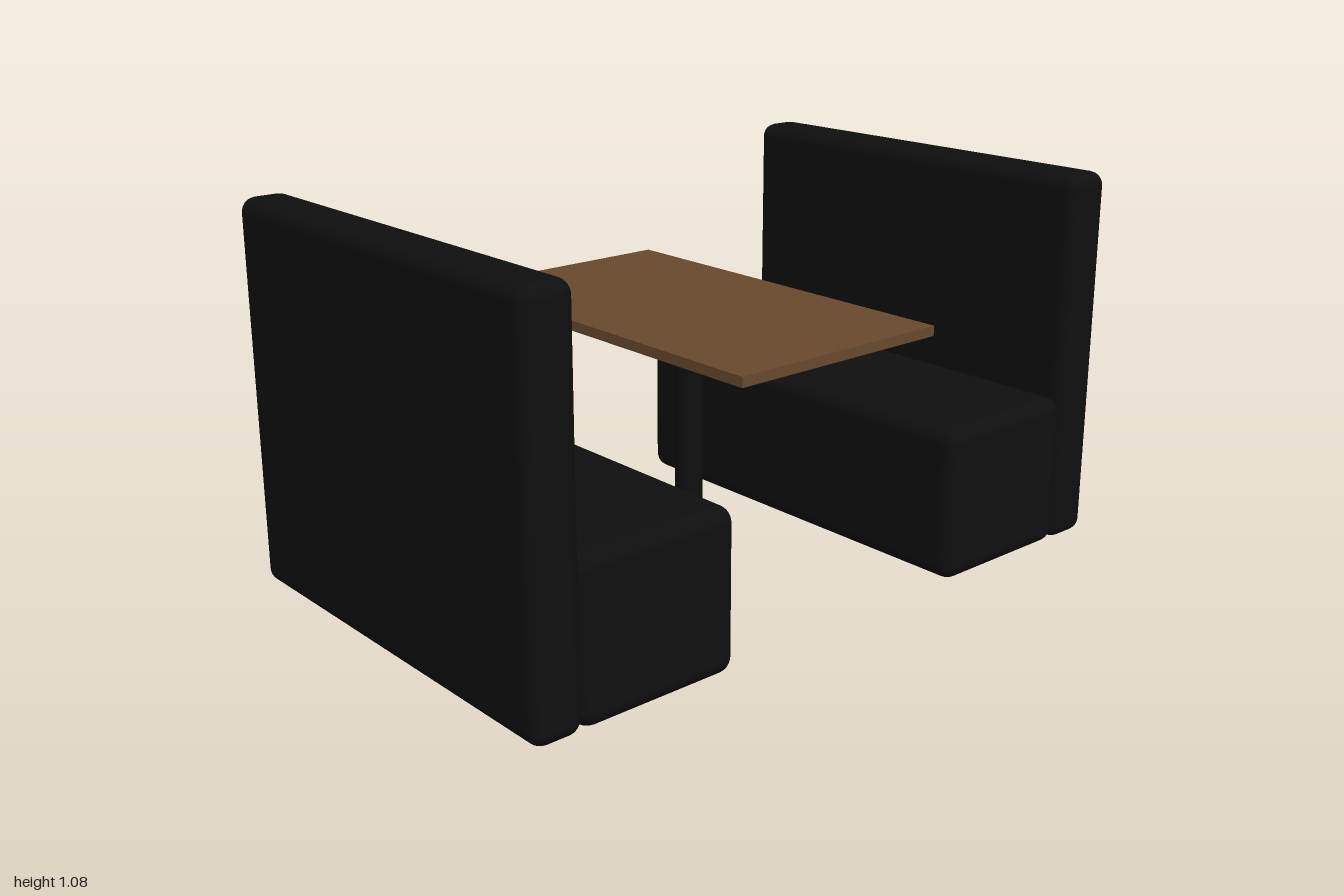
import * as THREE from 'three';
import { RoundedBoxGeometry } from 'three/addons/geometries/RoundedBoxGeometry.js';

export function createModel() {
  const model = new THREE.Group();
  model.name = 'diningBooth';
  const upholstery = new THREE.MeshStandardMaterial({ color: 0x0f0f0f });
  upholstery.name = 'black upholstery';
  const wood = new THREE.MeshStandardMaterial({ color: 0x68482e });
  wood.name = 'brown wood';

  const add = (parent, name, geometry, material, y, z = 0) => {
    const mesh = new THREE.Mesh(geometry, material);
    mesh.name = name;
    mesh.position.set(0, y, z);
    parent.add(mesh);
  };

  // Two padded benches facing each other across the table
  const width = 1.266;
  const seat = new RoundedBoxGeometry(width, 0.44, 0.476, 4, 0.045);
  const back = new RoundedBoxGeometry(width, 1.075, 0.143, 4, 0.04);
  for (const [name, turn] of [['frontBench', 0], ['rearBench', Math.PI]]) {
    const bench = new THREE.Group();
    bench.name = name;
    bench.rotation.y = turn;
    add(bench, 'seat', seat, upholstery, 0.22, 0.63);
    add(bench, 'backrest', back, upholstery, 0.5375, 0.9285);
    model.add(bench);
  }

  // Table top floating just above its round pedestal
  add(model, 'tableTop', new THREE.BoxGeometry(1.17, 0.028, 0.684), wood, 0.725);
  add(model, 'tableLeg', new THREE.CylinderGeometry(0.039, 0.039, 0.704, 16), upholstery, 0.352);

  return model;
}
